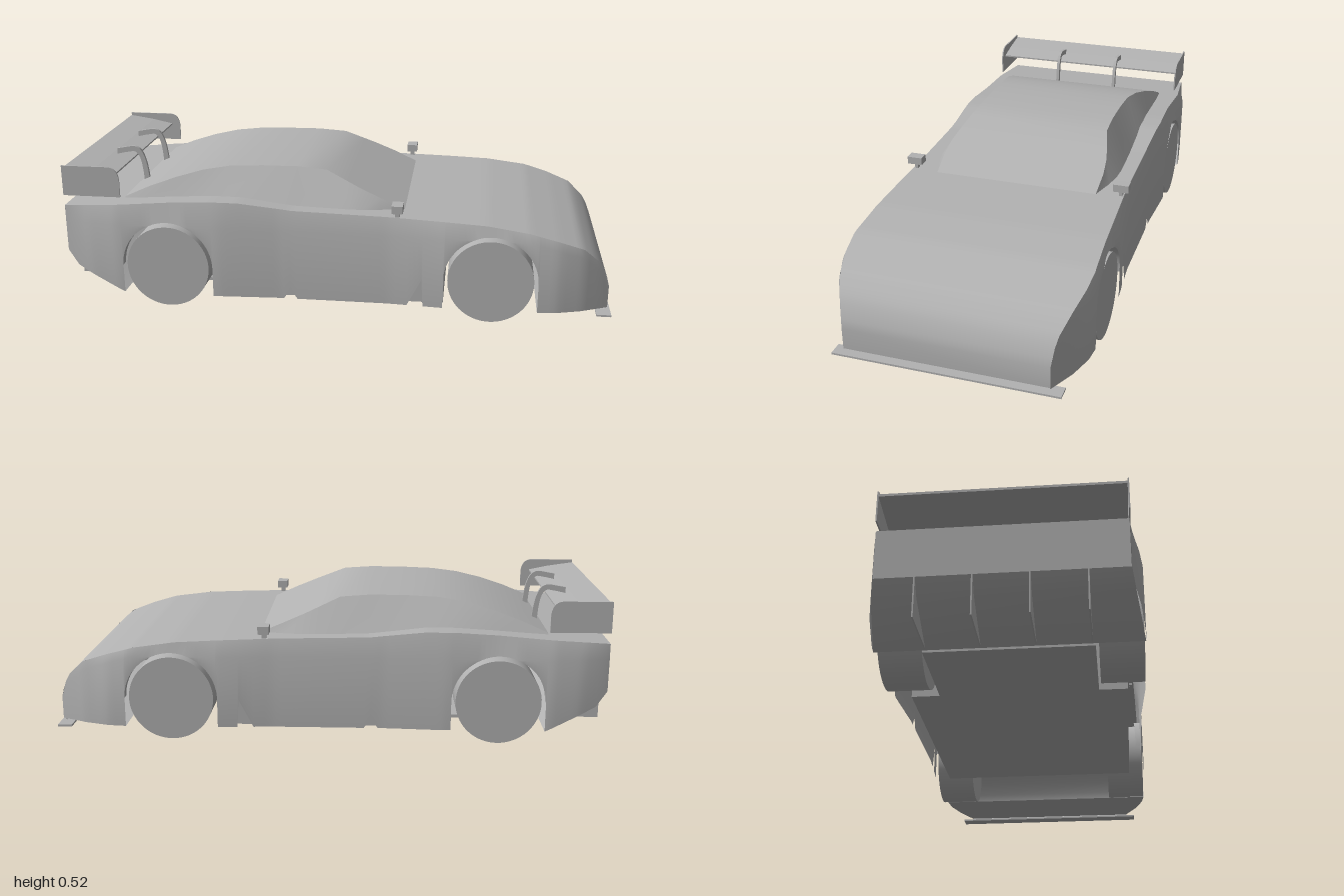
import * as THREE from 'three';
import { toCreasedNormals } from 'three/addons/utils/BufferGeometryUtils.js';

const grey = new THREE.MeshStandardMaterial({ color: 0xb2b2b2, side: THREE.DoubleSide });
grey.name = 'body grey';

// Piecewise linear curve through [x, value] pairs
const curve = (pts) => (x) => {
  if (x <= pts[0][0]) return pts[0][1];
  for (let i = 1; i < pts.length; i++) {
    const [a, b] = [pts[i - 1], pts[i]];
    if (x <= b[0]) return a[1] + ((b[1] - a[1]) * (x - a[0])) / (b[0] - a[0]);
  }
  return pts[pts.length - 1][1];
};

// Surface through rows of points
function loft(rows, crease = 0.5) {
  const n = rows[0].length, index = [];
  for (let i = 0; i < rows.length - 1; i++)
    for (let j = 0; j < n - 1; j++) {
      const a = i * n + j, b = a + n;
      index.push(a, a + 1, b, b, a + 1, b + 1);
    }
  const g = new THREE.BufferGeometry();
  g.setAttribute('position', new THREE.Float32BufferAttribute(rows.flat(2), 3));
  g.setIndex(index);
  return toCreasedNormals(g, crease);
}

// Upper deck height, deck edge half-width, and side half-width along the car
const deck = [[-1, .365], [-.8, .38], [-.6, .395], [-.45, .404], [-.35, .404], [-.15, .382], [.2, .374],
  [.4, .367], [.55, .36], [.7, .34], [.8, .312], [.89, .28], [.95, .225], [.975, .18], [.988, .13]];
const deckY = curve(deck);
const edge = curve([[-1, .4], [-.8, .418], [-.6, .412], [-.4, .418], [-.2, .41], [.2, .41],
  [.4, .418], [.6, .425], [.72, .43], [.8, .422], [.89, .402], [.95, .376], [.988, .36]]);
const side = curve([[-1, .402], [-.9, .428], [-.8, .441], [-.6, .435], [-.42, .441], [-.2, .428], [.2, .428],
  [.4, .442], [.55, .438], [.73, .443], [.8, .436], [.89, .408], [.95, .379], [.988, .36]]);

const rearX = -.61, frontX = .567, hubY = .155, archR = .168, sill = .048;

const sideZ = (x, y) => {
  const top = deckY(x), knee = Math.min(.31, top - .03);
  const t = Math.min(1, Math.max(0, (y - knee) / (top - knee)));
  return side(x) + (edge(x) - side(x)) * t;
};

const archPoints = (cx) => Array.from({ length: 33 }, (_, i) => {
  const a = Math.PI * (1 - i / 32);
  return [cx + archR * Math.cos(a), hubY + archR * Math.sin(a)];
});

// Lower edge of the body side, with wheel arches and sill notches
function lowerEdge() {
  const corners = [[-1, .19], [-.96, .135], [rearX - archR, sill], ...archPoints(rearX),
    [rearX + archR, sill], [-.18, sill], [-.155, .085], [-.13, sill], [.27, sill], [.322, .15], [.328, sill],
    [frontX - archR, sill], ...archPoints(frontX), [frontX + archR, sill], [.988, sill]];
  const out = [corners[0]];
  for (let i = 1; i < corners.length; i++) {
    const [a, b] = [corners[i - 1], corners[i]];
    const n = Math.max(1, Math.ceil((b[0] - a[0]) / .02));
    for (let k = 1; k <= n; k++) out.push([a[0] + (b[0] - a[0]) * k / n, a[1] + (b[1] - a[1]) * k / n]);
  }
  return out;
}

export function createModel() {
  const model = new THREE.Group();
  model.name = 'raceCar';
  const add = (name, geometry, x = 0, y = 0, z = 0) => {
    const m = new THREE.Mesh(geometry, grey);
    m.name = name;
    m.position.set(x, y, z);
    model.add(m);
    return m;
  };
  const box = (name, x0, x1, y0, y1, z0, z1) =>
    add(name, new THREE.BoxGeometry(x1 - x0, y1 - y0, z1 - z0), (x0 + x1) / 2, (y0 + y1) / 2, (z0 + z1) / 2);
  // Strip of given half-width along an x/y path
  const strip = (name, path, half) =>
    add(name, loft(path.map(([x, y]) => [[x, y, -half(x)], [x, y, half(x)]])));

  // Bonnet, rear deck and nose as one sheet
  const fine = [];
  for (let x = -1; x < .985; x += .02) fine.push([x, deckY(x)]);
  strip('upperDeck', [...fine, [.988, .13], [.988, .052], [.975, .042]], edge);
  strip('tailPanel', [[-1, .19], [-1, .365]], () => .401);
  strip('diffuser', [[-1, .19], [-.96, .135], [rearX - archR, sill]], side);
  strip('noseFloor', [[frontX + archR, sill], [.8, sill], [.89, sill], [.95, sill], [.986, sill]], side);
  box('floor', rearX - archR, frontX - archR, .04, .052, -.28, .28);
  box('centreTub', rearX + archR, frontX - archR, .04, .3, -.38, .38);

  // Cabin: x, roof height, roof half-width, base half-width
  const cabin = [[-.79, .386, .333, .338], [-.7, .425, .322, .342], [-.6, .46, .308, .343], [-.5, .487, .29, .344],
    [-.4, .502, .276, .347], [-.28, .507, .273, .35], [-.15, .508, .273, .353], [-.04, .5, .276, .356],
    [.04, .465, .297, .357], [.09, .443, .309, .354], [.16, .413, .315, .34], [.25, .373, .31, .311]];
  add('cabin', loft(cabin.map(([x, y, r, b]) => {
    const d = Math.min(deckY(x), y) - .003;
    return [[x, d, -b], [x, y, -r], [x, y, r], [x, d, b]];
  }), .4));

  const bottom = lowerEdge();
  for (const s of [1, -1]) {
    const tag = s > 0 ? 'left' : 'right';

    // Body side
    add(tag + 'BodySide', loft(bottom.map(([x, y]) => {
      const top = deckY(x), knee = Math.max(y, Math.min(.31, top - .03));
      return [y, knee, top].map((v) => [x, v, s * sideZ(x, v)]);
    }), .6));

    // Wheels and arch lips
    for (const [end, cx] of [['Rear', rearX], ['Front', frontX]]) {
      const wheel = new THREE.CylinderGeometry(.153, .153, .147, 64).rotateX(Math.PI / 2);
      add(tag + end + 'Wheel', wheel, cx, .154, s * .3635);
      add(tag + end + 'ArchLip', loft(archPoints(cx).map(([x, y]) =>
        [[x, y, s * sideZ(x, y)], [x, y, s * (sideZ(x, y) - .03)]])));
    }

    // Mirror
    box(tag + 'Mirror', .21, .25, .393, .421, s > 0 ? .373 : -.43, s > 0 ? .43 : -.373);
    box(tag + 'MirrorStalk', .222, .238, .365, .395, s * .4 - .006, s * .4 + .006);

    // Wing end plate with rounded front corner
    const plate = new THREE.Shape();
    plate.moveTo(-1, .405).lineTo(-.785, .405).lineTo(-.785, .47);
    plate.quadraticCurveTo(-.79, .518, -.83, .518).lineTo(-1, .518);
    add(tag + 'WingEndPlate', new THREE.ExtrudeGeometry(plate, { depth: .005, bevelEnabled: false }),
      0, 0, s * .403 - .0025);

    // Curved wing support
    const neck = new THREE.Shape();
    neck.moveTo(-.88, .49).lineTo(-.88, .512).lineTo(-.82, .523);
    neck.bezierCurveTo(-.78, .525, -.765, .48, -.757, .385).lineTo(-.778, .385);
    neck.bezierCurveTo(-.782, .46, -.79, .5, -.815, .503).lineTo(-.85, .497);
    add(tag + 'WingSupport', toCreasedNormals(
      new THREE.ExtrudeGeometry(neck, { depth: .012, bevelEnabled: false }), .5), 0, 0, s * .13 - .006);
  }

  // Wing blade
  const blade = new THREE.Shape();
  blade.moveTo(-.82, .469).lineTo(-1, .498).lineTo(-1, .507).lineTo(-.9, .492).lineTo(-.82, .475);
  add('wingBlade', new THREE.ExtrudeGeometry(blade, { depth: .802, bevelEnabled: false }), 0, 0, -.401);

  // Diffuser fins
  const fin = new THREE.Shape();
  fin.moveTo(-1, .19).lineTo(-1, sill).lineTo(-.79, sill).lineTo(-.96, .135);
  for (let i = 0; i < 4; i++)
    add('diffuserFin', new THREE.ExtrudeGeometry(fin, { depth: .005, bevelEnabled: false }), 0, 0, -.2725 + i * .18);

  // Front splitter
  box('splitter', .948, 1, .027, .034, -.4, .4);
  return model;
}
